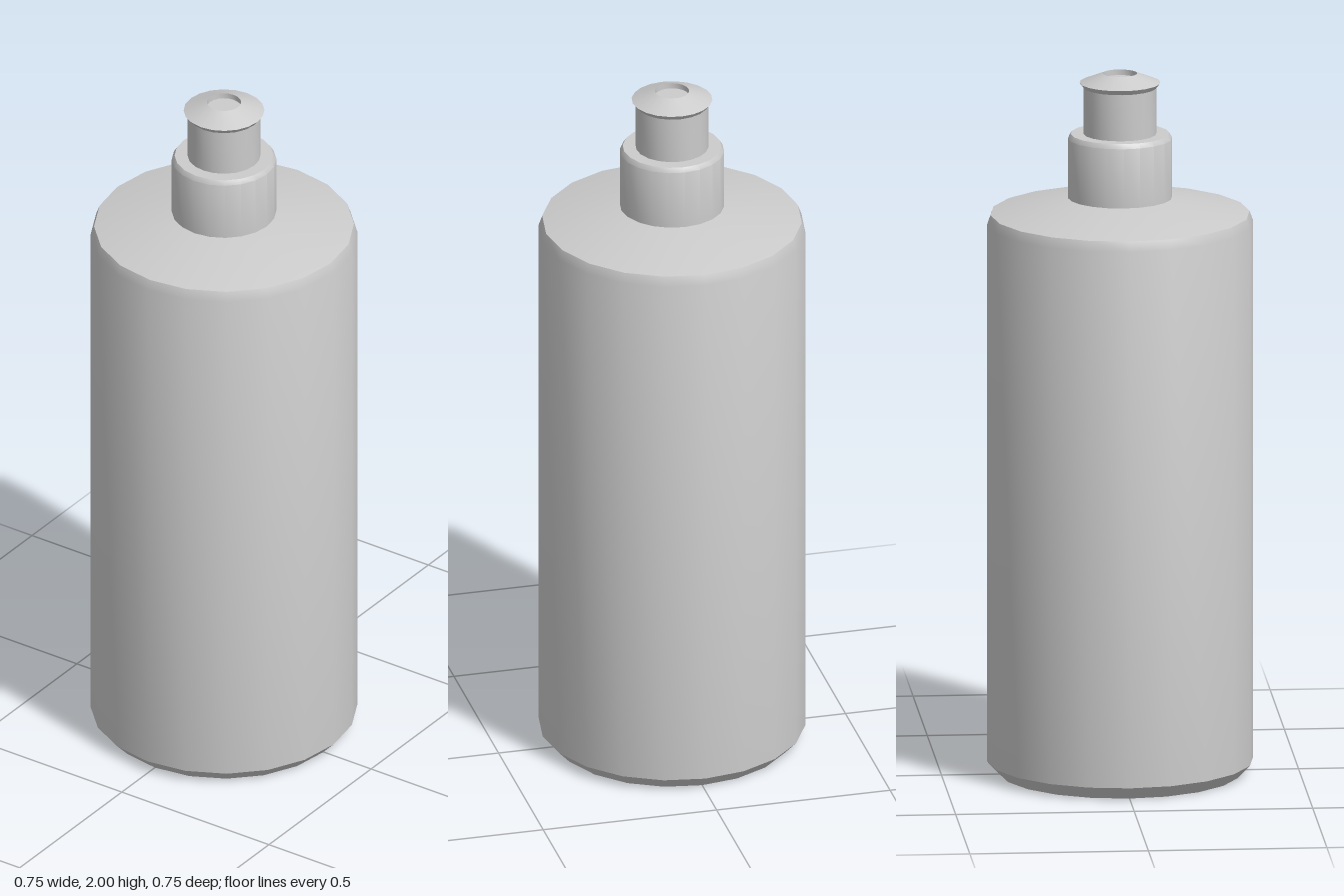
import * as THREE from 'three';
import { toCreasedNormals } from 'three/addons/utils/BufferGeometryUtils.js';

const SIDES = 20;
const material = new THREE.MeshStandardMaterial({ color: 0xcccccc });

// Turned part from [radius, height] pairs, listed from bottom to top
function turned(name, profile) {
  const points = profile.map(([r, y]) => new THREE.Vector2(r, y));
  const geometry = toCreasedNormals(new THREE.LatheGeometry(points, SIDES), 0.55);
  const mesh = new THREE.Mesh(geometry, material);
  mesh.name = name;
  return mesh;
}

export function createModel() {
  const bottle = new THREE.Group();
  bottle.name = 'squeezeBottle';

  // Body with chamfered base, softened rim and sloping shoulder
  bottle.add(turned('body', [
    [0, 0], [0.338, 0], [0.373, 0.037], [0.373, 1.572],
    [0.363, 1.6], [0.144, 1.646], [0, 1.646],
  ]));

  // Collar around the neck
  bottle.add(turned('collar', [
    [0.146, 1.642], [0.146, 1.815], [0.138, 1.828], [0, 1.828],
  ]));

  // Nozzle with flared lip and a shallow recessed opening
  bottle.add(turned('nozzle', [
    [0.102, 1.826], [0.102, 1.96], [0.113, 1.974],
    [0.048, 2], [0.048, 1.984], [0, 1.984],
  ]));

  return bottle;
}
